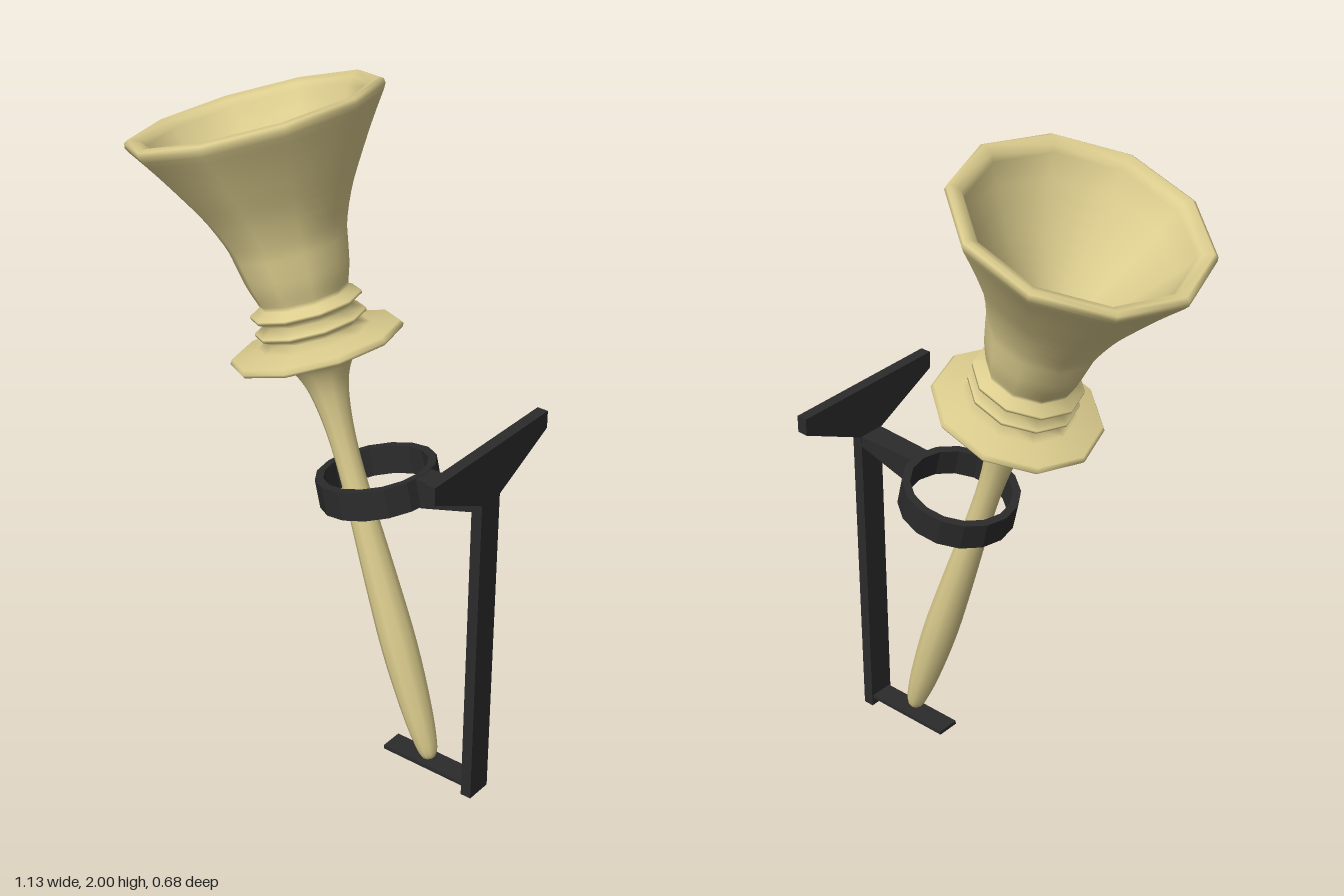
import * as THREE from 'three';

const vec = ([r, t]) => new THREE.Vector2(r, t);
const smooth = (points, n) => new THREE.SplineCurve(points.map(vec)).getPoints(n);

// Outline in the xy plane, extruded along z and centred on it
function slab(points, depth, material, name) {
  const g = new THREE.ExtrudeGeometry(new THREE.Shape(points.map(vec)), { depth, bevelEnabled: false });
  g.translate(0, 0, -depth / 2);
  const mesh = new THREE.Mesh(g, material);
  mesh.name = name;
  return mesh;
}

export function createModel() {
  const brass = new THREE.MeshStandardMaterial({ color: 0xdccd8e });
  brass.name = 'pale brass';
  const iron = new THREE.MeshStandardMaterial({ color: 0x2b2b2b });
  iron.name = 'black iron';

  const model = new THREE.Group();
  model.name = 'wallTorch';

  // Torch: ten-sided turned profile (radius, height along the axis)
  const stem = smooth([
    [0, 0], [0.02, 0.006], [0.033, 0.05], [0.045, 0.17], [0.052, 0.36], [0.047, 0.58],
    [0.038, 0.82], [0.037, 0.97], [0.046, 1.09], [0.066, 1.18], [0.108, 1.245], [0.17, 1.265], [0.238, 1.271],
  ], 48);
  const rings = [
    [0.244, 1.28], [0.236, 1.292], [0.16, 1.305], [0.122, 1.32],
    [0.156, 1.34], [0.156, 1.348], [0.12, 1.368],
    [0.156, 1.39], [0.156, 1.398], [0.124, 1.416],
  ].map(vec);
  const cup = smooth([
    [0.128, 1.43], [0.144, 1.48], [0.156, 1.54], [0.168, 1.595], [0.204, 1.68], [0.252, 1.762], [0.3, 1.838], [0.348, 1.908],
  ], 20);
  const rim = [[0.357, 1.924], [0.355, 1.937], [0.343, 1.944], [0.315, 1.934], [0.303, 1.915]].map(vec);
  const inside = smooth([
    [0.293, 1.89], [0.225, 1.79], [0.16, 1.7], [0.105, 1.615], [0.07, 1.54], [0.035, 1.485], [0, 1.457],
  ], 16);
  const torch = new THREE.Mesh(
    new THREE.LatheGeometry([...stem, ...rings, ...cup, ...rim, ...inside], 10, Math.PI / 2), brass);
  torch.name = 'torch';
  torch.position.set(0.395, 0.045, 0);
  torch.rotation.z = 0.328;
  model.add(torch);

  // Bracket, turned a touch out of square
  const bracket = new THREE.Group();
  bracket.name = 'bracket';
  bracket.position.z = -0.012;
  bracket.rotation.y = -0.012;
  model.add(bracket);

  // Upright post with a flared wall plate on top
  const post = slab([
    [-0.041, 0], [0.041, 0], [0.041, 0.975], [0.257, 1.08], [0.257, 1.132],
    [-0.257, 1.132], [-0.257, 1.08], [-0.041, 0.975],
  ], 0.033, iron, 'postAndWallPlate');
  post.rotation.y = Math.PI / 2;
  post.position.x = 0.546;
  bracket.add(post);

  // Foot plate under the torch tip
  const foot = new THREE.Mesh(new THREE.BoxGeometry(0.285, 0.012, 0.07), iron);
  foot.name = 'footPlate';
  foot.position.set(0.3925, 0.031, 0);
  bracket.add(foot);

  // Arm, a little narrower at the ring
  const arm = slab([[0.342, 0.888], [0.362, 0.888], [0.535, 0.945], [0.535, 0.977], [0.335, 0.972]], 0.08, iron, 'arm');
  const p = arm.geometry.attributes.position;
  for (let i = 0; i < p.count; i++) if (p.getX(i) < 0.45) p.setZ(i, p.getZ(i) * 0.85);
  arm.geometry.computeVertexNormals();
  bracket.add(arm);

  // Faceted, tilted holding ring
  const ringGeo = new THREE.LatheGeometry(
    [[0.147, -0.042], [0.171, -0.042], [0.171, 0.042], [0.147, 0.042], [0.147, -0.042]].map(vec), 16, Math.PI / 2).toNonIndexed();
  ringGeo.computeVertexNormals();
  const ring = new THREE.Mesh(ringGeo, iron);
  ring.name = 'holdingRing';
  ring.position.set(0.19, 0.894, 0);
  ring.rotation.z = 0.235;
  bracket.add(ring);

  return model;
}
